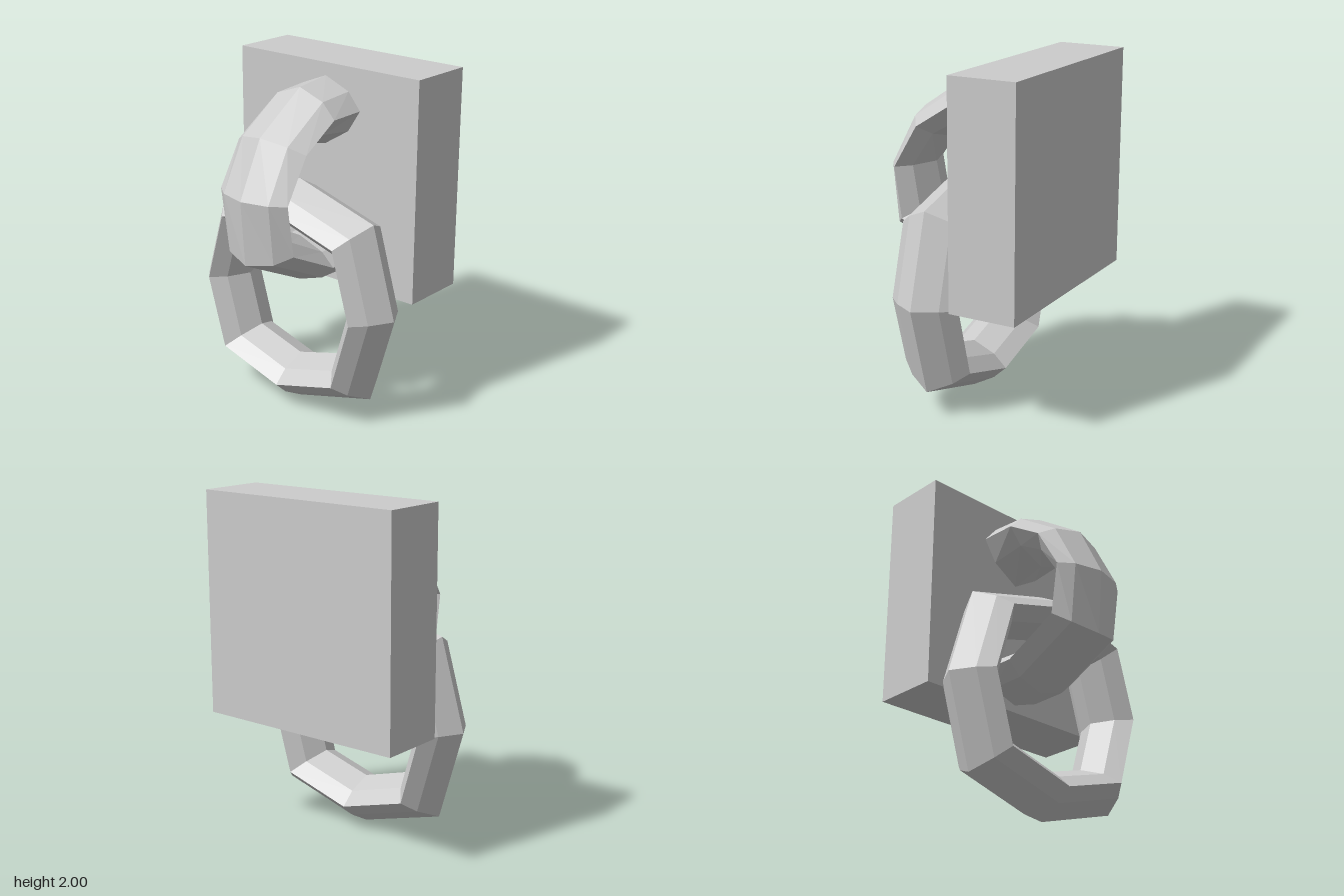
import * as THREE from 'three';

const material = new THREE.MeshStandardMaterial({ color: 0xcccccc, flatShading: true });

// Joins octagonal cross-sections (arrays of 8 Vector3) into a faceted tube.
function loft(sections, closed) {
  const n = sections[0].length;
  const positions = sections.flat().flatMap((p) => p.toArray());
  const index = [];
  const spans = closed ? sections.length : sections.length - 1;
  for (let i = 0; i < spans; i++) {
    const k = (i + 1) % sections.length;
    for (let j = 0; j < n; j++) {
      const l = (j + 1) % n;
      const a = i * n + j, b = k * n + j, c = k * n + l, d = i * n + l;
      index.push(a, b, c, a, c, d);
    }
  }
  const geometry = new THREE.BufferGeometry();
  geometry.setAttribute('position', new THREE.Float32BufferAttribute(positions, 3));
  geometry.setIndex(index);
  const flat = geometry.toNonIndexed();
  flat.computeVertexNormals();
  return flat;
}

// Eight points around a section: outer ridge, widest side, inner ridge and back.
function section(outer, mid, inner, side, width, shoulder, outerMix) {
  const at = (p, w) => p.clone().addScaledVector(side, w);
  const o = mid.clone().lerp(outer, outerMix);
  const i = mid.clone().lerp(inner, 0.56);
  return [
    outer, at(o, shoulder), at(mid, width), at(i, shoulder),
    inner, at(i, -shoulder), at(mid, -width), at(o, -shoulder),
  ];
}

function add(group, name, geometry) {
  const mesh = new THREE.Mesh(geometry, material);
  mesh.name = name;
  group.add(mesh);
  return mesh;
}

export function createModel() {
  const group = new THREE.Group();
  group.name = 'wallRing';

  // Wall block
  add(group, 'wallPlate', new THREE.BoxGeometry(1.29, 1.29, 0.4)).position.set(0, 1.355, -0.355);

  // Hanging octagonal ring, its diagonal corners pushed slightly outward
  const zAxis = new THREE.Vector3(0, 0, 1);
  const ringSections = [];
  for (let i = 0; i < 8; i++) {
    const a = (i * Math.PI) / 4;
    const stretch = i % 2 ? 1.095 : 1;
    const at = (r) => new THREE.Vector3(Math.cos(a) * r * stretch, Math.sin(a) * r * stretch, 0);
    ringSections.push(section(at(0.685), at(0.535), at(0.4), zAxis, 0.215, 0.135, 0.5));
  }
  add(group, 'hangingRing', loft(ringSections, true)).position.set(0, 0.69, 0.065);

  // Curved bracket: [z, y] of the outer ridge, side and inner ridge at each bend
  const xAxis = new THREE.Vector3(1, 0, 0);
  const bends = [
    [[-0.155, 1.925], [-0.155, 1.76], [-0.155, 1.53]],
    [[0.065, 1.9], [0.065, 1.755], [0.065, 1.58]],
    [[0.39, 1.68], [0.295, 1.61], [0.19, 1.52]],
    [[0.55, 1.36], [0.445, 1.36], [0.315, 1.36]],
    [[0.52, 0.98], [0.4, 1.06], [0.27, 1.14]],
    [[0.065, 0.76], [0.065, 0.895], [0.065, 1.03]],
    [[-0.155, 0.755], [-0.155, 0.895], [-0.155, 1.05]],
  ];
  const bracketSections = bends.map((bend) => {
    const [outer, mid, inner] = bend.map(([z, y]) => new THREE.Vector3(0, y, z));
    return section(outer, mid, inner, xAxis, 0.248, 0.165, 0.6);
  });
  add(group, 'curvedBracket', loft(bracketSections, false));

  return group;
}
